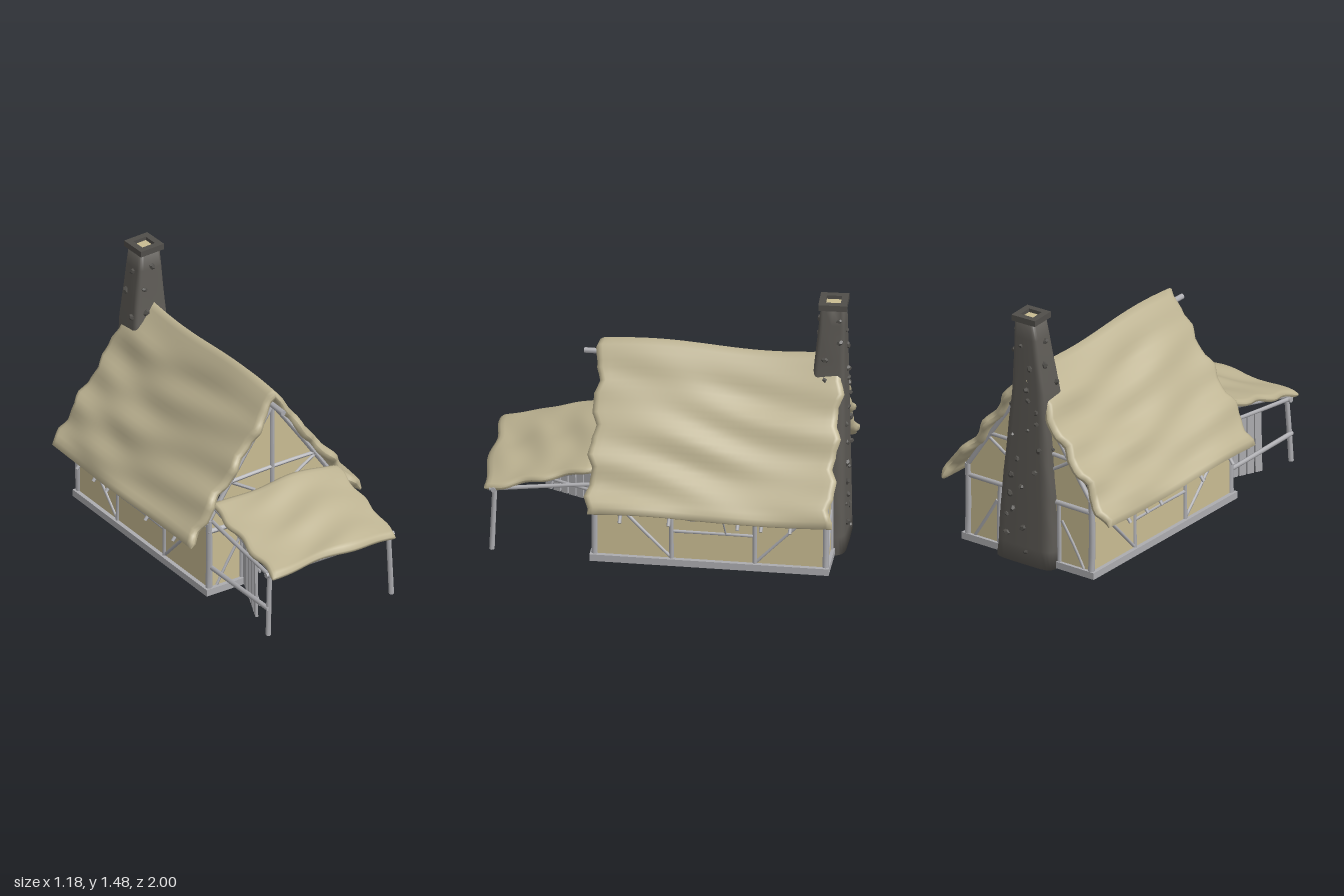
import * as THREE from 'three';

const mat = (name, color) => Object.assign(new THREE.MeshStandardMaterial({ color }), { name });

export function createModel() {
  const house = new THREE.Group();
  house.name = 'cottage';
  const thatch = mat('thatch', 0xbdb392);
  const plaster = mat('plaster', 0xc9bc92);
  plaster.side = THREE.DoubleSide;
  const timber = mat('timber', 0xacacb0);
  const stone = mat('chimney stone', 0x5d5a55);
  const rubble = mat('rubble stone', 0x504e4a);
  const soot = mat('soot', 0x48443e);

  let seed = 7;
  const rnd = () => (seed = (seed * 16807) % 2147483647) / 2147483647;
  const V = (x, y, z) => new THREE.Vector3(x, y, z);
  const add = (name, geo, material, pos = [0, 0, 0], parent = house) => {
    const m = new THREE.Mesh(geo, material);
    m.name = name;
    m.position.set(...pos);
    parent.add(m);
    return m;
  };
  const box = (name, w, h, d, pos, material = timber) => add(name, new THREE.BoxGeometry(w, h, d), material, pos);

  // Slightly crooked round pole between two points
  const pole = (name, a, b, r = 0.013, bow = 0.006) => {
    const from = V(...a), to = V(...b), len = from.distanceTo(to);
    const g = new THREE.CylinderGeometry(r * 0.92, r, len, 8, 4);
    const p = g.attributes.position, k = (rnd() - 0.5) * 2 * bow;
    for (let i = 0; i < p.count; i++) p.setX(i, p.getX(i) + k * Math.cos((p.getY(i) / len) * Math.PI));
    g.computeVertexNormals();
    const m = add(name, g, timber, from.clone().add(to).multiplyScalar(0.5).toArray());
    m.quaternion.setFromUnitVectors(V(0, 1, 0), to.sub(from).normalize());
    return m;
  };

  // Closed surface through rings of equal point count
  const loft = (rings, capped) => {
    const n = rings[0].length, idx = [];
    const pts = rings.flat();
    for (let j = 0; j < rings.length - 1; j++) for (let i = 0; i < n; i++) {
      const a = j * n + i, b = j * n + ((i + 1) % n);
      idx.push(a, b, a + n, b, b + n, a + n);
    }
    if (capped) for (let i = 1; i < n - 1; i++) {
      const t = (rings.length - 1) * n;
      idx.push(0, i + 1, i, t, t + i, t + i + 1);
    }
    const g = new THREE.BufferGeometry().setFromPoints(pts);
    g.setIndex(idx);
    g.computeVertexNormals();
    return g;
  };

  // Thick wavy sheet with rounded rim; mid(u, v) and normal(u) describe its middle
  const sheet = (mid, normal, thick, nu, nv) => {
    const vs = [[0, 0], [0.003, 0.6], [0.015, 0.95]];
    for (let j = 1; j < nv; j++) vs.push([j / nv, 1]);
    vs.push([0.985, 0.95], [0.997, 0.6], [1, 0]);
    return loft(vs.map(([v, f]) => {
      const ring = [];
      for (const s of [1, -1]) for (let i = 0; i <= nu; i++) {
        const u = s > 0 ? i / nu : 1 - i / nu;
        const rim = i === 0 || i === nu ? 0.45 : 1;
        ring.push(mid(u, v).addScaledVector(normal(u), s * f * rim * thick / 2));
      }
      return ring;
    }));
  };

  // Main thatched roof, front to back
  const roofMid = (u, v) => {
    const s = u * 2 - 1, a = Math.abs(s), z0 = 0.385 - 1.35 * v;
    const ragged = 0.014 * Math.sin(s * 23) + 0.006 * Math.sin(s * 51);
    const furrow = 0.014 * Math.sin(a * 15 + 1.6 * Math.sin(z0 * 3 + s)) * Math.sin(z0 * 5 + s * 4)
      + 0.007 * Math.sin(a * 27 + z0 * 5);
    const e = Math.min(a * 5, 1);
    const ridge = 0.016 * Math.sin(z0 * 5 + 1.2) * (1 - 0.5 * a);
    return V(s * 0.568 + Math.sign(s) * furrow * 0.8 * e,
      1.13 - 0.77 * a + furrow * 0.6 * e + ridge - 0.02 * Math.sin(a * Math.PI),
      z0 + ragged * (v < 0.5 ? 1 - 2 * v : 2 * v - 1));
  };
  const roofNormal = u => {
    const k = THREE.MathUtils.clamp((u * 2 - 1) * 8, -1, 1);
    return V(k * 0.8, 1 - 0.4 * Math.abs(k), 0).normalize();
  };
  add('mainRoof', sheet(roofMid, roofNormal, 0.055, 56, 40), thatch);

  // Porch roof, back to front across the width
  const porchMid = (u, v) => {
    const x = (v * 2 - 1) * 0.41, z = 0.36 + u * (0.615 + 0.012 * Math.sin(x * 14));
    return V(x + 0.01 * Math.sin(u * 17),
      0.58 - 0.165 * u - 0.02 * (x / 0.4) ** 2 + 0.01 * Math.sin(u * 15 + 2 * Math.sin(x * 5)) * Math.cos(x * 5)
      + 0.006 * Math.sin(x * 11), z);
  };
  add('porchRoof', sheet(porchMid, () => V(0, 0.966, 0.26), 0.04, 30, 26), thatch);

  // Plaster walls: gables and sides
  const gable = (name, door, z) => {
    const pts = [[0.42, 0.03], [0.42, 0.48], [0, 1.08], [-0.42, 0.48], [-0.42, 0.03]];
    if (door) pts.push([-0.19, 0.03], [-0.19, 0.39], [0.19, 0.39], [0.19, 0.03]);
    const s = new THREE.Shape(pts.map(p => new THREE.Vector2(...p)));
    add(name, new THREE.ExtrudeGeometry(s, { depth: 0.012, bevelEnabled: false }), plaster, [0, 0, z - 0.006]);
  };
  gable('frontWall', true, 0.35);
  gable('backWall', false, -0.915);
  for (const s of [-1, 1]) box('sideWall', 0.012, 0.46, 1.26, [s * 0.42, 0.26, -0.283], plaster);

  // Sill beams
  for (const s of [-1, 1]) {
    box('sideSill', 0.04, 0.04, 1.3, [s * 0.43, 0.03, -0.28]);
    box('frontSill', 0.26, 0.04, 0.04, [s * 0.32, 0.03, 0.36]);
    box('backSill', 0.26, 0.04, 0.04, [s * 0.32, 0.03, -0.92]);
  }

  // Gable timber frames
  for (const z of [0.355, -0.92]) {
    const tie = z > 0 ? 0.67 : 0.68;
    pole('collarBeam', [-0.28, tie, z], [0.28, tie + 0.01, z]);
    pole('tieBeam', [-0.43, 0.4, z], [0.43, 0.4, z], 0.016);
    pole('kingPost', [0, 0.4, z], [-0.005, 1.08, z], 0.015);
    for (const s of [-1, 1]) {
      pole('gableRafter', [s * 0.43, 0.45, z], [0, 1.07, z], 0.014);
      pole('cornerPost', [s * 0.42, 0.03, z], [s * 0.42, 0.47, z], 0.019);
      pole('gableBrace', [s * 0.28, 0.67, z], [s * 0.12, 0.57, z], 0.011);
      pole('doorPost', [s * 0.205, 0.03, z], [s * 0.2, 0.4, z], 0.014);
      pole('wallBrace', [s * 0.22, 0.3, z], [s * 0.37, 0.05, z], 0.01);
    }
  }
  pole('ridgePole', [-0.005, 1.07, 0.47], [0, 1.075, -0.92], 0.016, 0.002);

  // Side timber frames and rafter tails
  for (const s of [-1, 1]) {
    const x = s * 0.426;
    for (const z of [-0.07, -0.53]) pole('sidePost', [x, 0.04, z], [x, 0.47, z], 0.013);
    pole('wallPlate', [x, 0.44, 0.35], [x, 0.44, -0.92], 0.014);
    pole('sideBrace', [x, 0.34, 0.21], [x, 0.06, -0.06], 0.01);
    pole('sideBrace', [x, 0.33, -0.8], [x, 0.06, -0.54], 0.01);
    pole('midRail', [x, 0.215, -0.07], [x, 0.215, -0.53], 0.01);
    for (const z of [0.2, -0.07, -0.45, -0.58, -0.74])
      pole('rafterTail', [s * 0.41, 0.5, z], [s * 0.555, 0.31, z], 0.011);
  }

  // Propped lattice shutter on the left side
  for (let i = 0; i < 4; i++)
    pole('shutterBar', [0.43 + i * 0.022, 0.29 + i * 0.014, -0.16], [0.43 + i * 0.022, 0.29 + i * 0.014, -0.38], 0.006);
  for (const z of [-0.18, -0.24, -0.3, -0.36]) pole('shutterSlat', [0.42, 0.285, z], [0.505, 0.34, z], 0.006);
  pole('shutterProp', [0.43, 0.22, -0.37], [0.49, 0.33, -0.36], 0.005);

  // Porch frame
  for (const s of [-1, 1]) {
    pole('porchPost', [s * 0.405 - 0.005, 0.02, 0.925], [s * 0.39, 0.41, 0.91], 0.015);
    pole('porchRafter', [s * 0.385, 0.4, 0.95], [s * 0.385, 0.54, 0.36], 0.012);
    pole('porchPlate', [s * 0.4, 0.39, 0.94], [s * 0.4, 0.46, 0.36], 0.012);
  }
  pole('porchBeam', [-0.42, 0.392, 0.915], [0.42, 0.392, 0.915], 0.016);
  pole('porchRail', [-0.41, 0.185, 0.93], [-0.41, 0.175, 0.36], 0.014);

  // Open plank door
  const hinge = V(-0.195, 0, 0.37), swing = V(-0.16, 0, 0.36);
  for (let i = 0; i < 8; i++) {
    const h = 0.345 + rnd() * 0.02;
    const p = hinge.clone().addScaledVector(swing, (i + 0.5) / 8);
    const m = box('doorPlank', 0.041, h, 0.016, [p.x, 0.02 + h / 2, p.z]);
    m.rotation.set(0, Math.atan2(-swing.z, swing.x), (rnd() - 0.5) * 0.05);
  }
  for (const y of [0.09, 0.3])
    pole('doorLedge', [-0.18, y, 0.38], [-0.335, y, 0.73], 0.009, 0);

  // Tapered chimney: y, x range, z range
  const levels = [[0.005, -0.2, 0.2, -0.995, -0.62], [0.4, -0.185, 0.17, -0.99, -0.66],
    [1.05, -0.13, 0.09, -0.98, -0.8], [1.46, -0.065, 0.068, -0.978, -0.842]];
  const section = y => {
    let k = 0;
    while (k < 2 && y > levels[k + 1][0]) k++;
    const t = (y - levels[k][0]) / (levels[k + 1][0] - levels[k][0]);
    return levels[k].map((v, i) => THREE.MathUtils.lerp(v, levels[k + 1][i], t));
  };
  const rings = [];
  for (let j = 0; j <= 14; j++) {
    const y = 0.005 + (1.455 * j) / 14, [, x0, x1, z0, z1] = section(y);
    const ring = [];
    for (let i = 0; i < 24; i++) {
      const a = -(i / 24) * Math.PI * 2, c = Math.cos(a), s = Math.sin(a);
      const f = q => Math.sign(q) * Math.abs(q) ** 0.32;
      const w = 1 + 0.012 * Math.sin(j * 2.3 + i);
      ring.push(V((x0 + x1) / 2 + f(c) * w * (x1 - x0) / 2, y, (z0 + z1) / 2 + f(s) * (z1 - z0) / 2));
    }
    rings.push(ring);
  }
  add('chimney', loft(rings, true), stone);

  // Chimney cap with flue
  const square = (T, r) => new T([[-r, -r], [r, -r], [r, r], [-r, r]].map(p => new THREE.Vector2(...p)));
  const rim = square(THREE.Shape, 0.078);
  rim.holes.push(square(THREE.Path, 0.042));
  const cap = add('chimneyCap', new THREE.ExtrudeGeometry(rim, { depth: 0.035, bevelEnabled: false }), rubble, [0, 1.45, -0.908]);
  cap.rotation.set(-Math.PI / 2, 0, 0.04);
  box('flue', 0.09, 0.006, 0.09, [0, 1.461, -0.908], plaster);

  // Stones set into the chimney faces
  const lump = (name, pos, r) => {
    const m = add(name, new THREE.DodecahedronGeometry(r), rubble, pos);
    m.scale.set(1.15, 0.8, 0.9);
    m.rotation.set(rnd() * 3, rnd() * 3, rnd() * 3);
  };
  for (let i = 0; i < 44; i++) {
    const y = 0.08 + 1.32 * ((i + rnd()) / 44), [, x0, x1, z0, z1] = section(y), t = 0.15 + 0.7 * rnd();
    const x = x0 + (x1 - x0) * t, z = z0 + (z1 - z0) * t;
    const spots = [[x, y, z0], [x0, y, z], [x, y, z0], [x1, y, z]];
    if (y > 1.1) spots[2] = [x, y, z1];
    lump('chimneyRubble', spots[i % 4], 0.014 + 0.008 * rnd());
  }

  // Fireplace arch, surround and hearth
  const fire = new THREE.Group();
  fire.name = 'fireplace';
  fire.position.set(0, 0.08, -0.627);
  fire.rotation.x = -0.1;
  house.add(fire);
  const mouth = new THREE.Shape();
  mouth.moveTo(-0.105, 0).lineTo(0.105, 0).lineTo(0.105, 0.12).absarc(0, 0.12, 0.105, 0, Math.PI).lineTo(-0.105, 0);
  add('fireMouth', new THREE.ShapeGeometry(mouth, 16), soot, [0, 0, 0.004], fire);
  for (let i = 0; i < 25; i++) {
    const t = i - 12, a = Math.PI / 2 - (t / 8) * (Math.PI / 2), side = Math.abs(t) > 8;
    const x = side ? Math.sign(t) * 0.113 : Math.cos(a) * 0.113;
    const y = side ? 0.12 - (Math.abs(t) - 8) * 0.027 : 0.12 + Math.sin(a) * 0.113;
    const m = add('archStone', new THREE.DodecahedronGeometry(0.016), rubble, [x, y, 0.006], fire);
    m.rotation.set(rnd() * 3, rnd() * 3, rnd() * 3);
  }
  box('hearthShelf', 0.25, 0.014, 0.08, [0, 0.085, -0.6], rubble);
  box('hearthBase', 0.28, 0.06, 0.12, [-0.005, 0.04, -0.59], rubble);

  return house;
}
